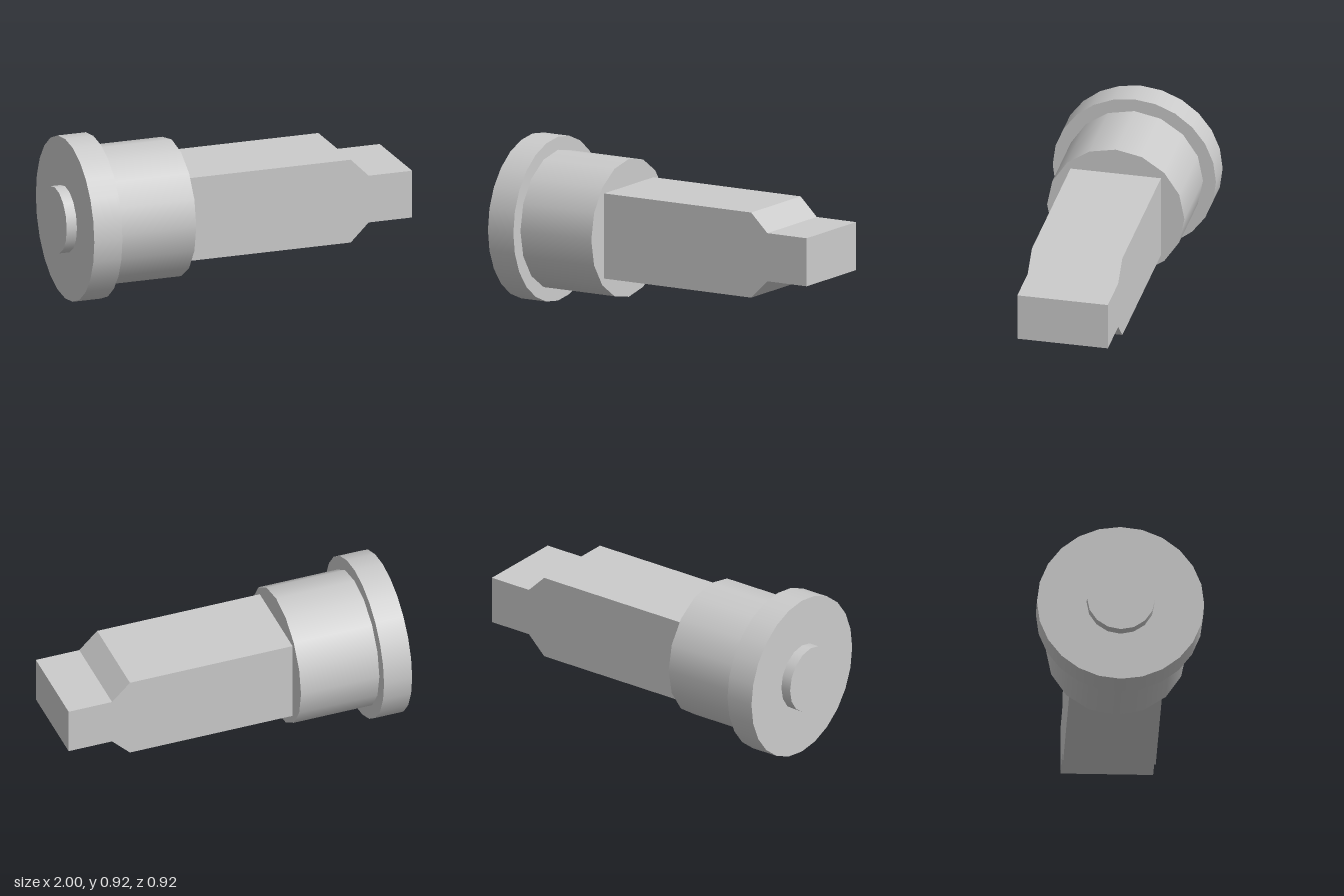
import * as THREE from 'three';

const AXIS_Y = 0.462;
const HALF_DEPTH = 0.255;

export function createModel() {
  const group = new THREE.Group();
  const material = new THREE.MeshStandardMaterial({ color: 0xcccccc });

  function add(name, geometry) {
    const mesh = new THREE.Mesh(geometry, material);
    mesh.name = name;
    group.add(mesh);
    return mesh;
  }

  // Disc lying along the x axis between two x positions
  function disc(name, x0, x1, radius, sides) {
    const geometry = new THREE.CylinderGeometry(radius, radius, x1 - x0, sides);
    geometry.rotateZ(-Math.PI / 2);
    add(name, geometry).position.set((x0 + x1) / 2, AXIS_Y, 0);
  }

  // Block with a side profile that runs from half height h0 at x0 to h1 at x1
  function block(name, x0, x1, h0, h1) {
    const shape = new THREE.Shape([
      new THREE.Vector2(x0, -h0),
      new THREE.Vector2(x1, -h1),
      new THREE.Vector2(x1, h1),
      new THREE.Vector2(x0, h0),
    ]);
    const geometry = new THREE.ExtrudeGeometry(shape, { depth: 2 * HALF_DEPTH, bevelEnabled: false });
    add(name, geometry).position.set(0, AXIS_Y, -HALF_DEPTH);
  }

  // Round base: end knob, wide flange and two collars
  disc('endKnob', -1, -0.94, 0.187, 16);
  disc('flange', -0.94, -0.775, 0.46, 24);
  disc('rearCollar', -0.775, -0.475, 0.387, 16);
  disc('frontCollar', -0.475, -0.315, 0.387, 16);

  // Rectangular shaft, tapered shoulder and tip
  block('shaft', -0.315, 0.64, 0.239, 0.239);
  block('shoulder', 0.64, 0.745, 0.239, 0.135);
  block('tip', 0.745, 1, 0.135, 0.135);

  return group;
}
